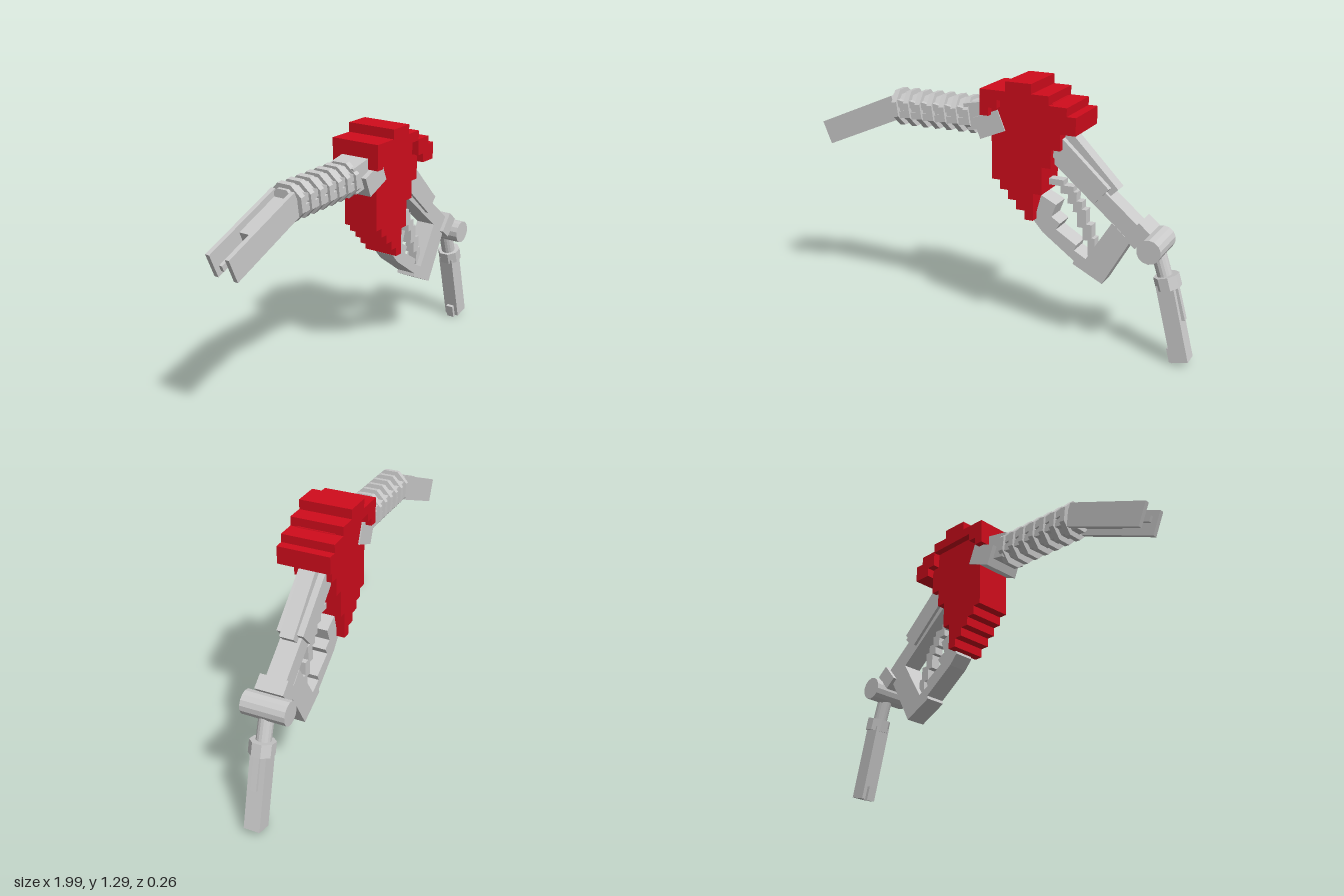
import * as THREE from 'three';

const grey = new THREE.MeshStandardMaterial({ color: 0xcccccc, flatShading: true });
const red = new THREE.MeshStandardMaterial({ color: 0xd00c1c, flatShading: true });

export function createModel() {
  const model = new THREE.Group();
  const add = (name, geometry, material = grey) => {
    const mesh = new THREE.Mesh(geometry, material);
    mesh.name = name;
    model.add(mesh);
    return mesh;
  };
  // Side profile extruded symmetrically about z = 0
  const profile = (name, pts, halfZ, material) => {
    const shape = new THREE.Shape(pts.map(([x, y]) => new THREE.Vector2(x, y)));
    const g = new THREE.ExtrudeGeometry(shape, { depth: halfZ * 2, bevelEnabled: false });
    return add(name, g.translate(0, 0, -halfZ), material);
  };
  // Square-section bar between two points in the xy plane
  const bar = (name, [x1, y1], [x2, y2], height, halfZ, z = 0) => {
    const m = add(name, new THREE.BoxGeometry(Math.hypot(x2 - x1, y2 - y1), height, halfZ * 2));
    m.position.set((x1 + x2) / 2, (y1 + y2) / 2, z);
    m.rotation.z = Math.atan2(y2 - y1, x2 - x1);
    return m;
  };
  // Round or faceted rod between two points in the xy plane
  const rod = (name, [x1, y1], [x2, y2], r, sides) => {
    const g = new THREE.CylinderGeometry(r, r, Math.hypot(x2 - x1, y2 - y1), sides);
    g.rotateY(Math.PI / sides).rotateZ(-Math.PI / 2);
    const m = add(name, g);
    m.position.set((x1 + x2) / 2, (y1 + y2) / 2, 0);
    m.rotation.z = Math.atan2(y2 - y1, x2 - x1);
    return m;
  };

  // Stepped red housing and its wider cover
  profile('housing', [
    [0, 1.21], [0, 0.81], [0.043, 0.81], [0.043, 0.765], [0.087, 0.765], [0.087, 0.72],
    [0.13, 0.72], [0.13, 0.675], [0.174, 0.675], [0.174, 0.63], [0.218, 0.63], [0.218, 0.765],
    [0.26, 0.765], [0.26, 0.9], [0.305, 0.9], [0.305, 0.99], [0.35, 0.99], [0.35, 1.1], [0.31, 1.21],
  ], 0.094, red);
  profile('cover', [
    [-0.045, 1.25], [-0.045, 1.125], [0, 1.125], [0, 1.165], [0.043, 1.165], [0.043, 1.205],
    [0.305, 1.205], [0.305, 1.125], [0.35, 1.125], [0.35, 1.08], [0.44, 1.08], [0.44, 1.165],
    [0.395, 1.165], [0.395, 1.205], [0.305, 1.205 + 0.001], [0.305, 1.25], [0.218, 1.25],
    [0.218, 1.297], [0.087, 1.297], [0.087, 1.25],
  ].map(([x, y]) => (y === 1.205 && x === 0.305 ? [x, 1.2] : [x, y])), 0.13, red);

  // Hose connector and side lugs
  bar('hoseConnector', [-0.15, 1.09], [0.0, 1.12], 0.13, 0.075);
  bar('hoseLug', [-0.078, 1.048], [0.052, 1.102], 0.105, 0.1);

  // Ribbed hose
  rod('hoseCore', [-0.58, 1.085], [-0.1, 1.1], 0.07, 8);
  for (let i = 0; i < 7; i++) {
    const x = -0.54 + i * 0.0665;
    const y = 1.085 + i * 0.001;
    rod('hoseRing', [x - 0.014, y - 0.002], [x + 0.014, y + 0.002], 0.095, 8);
    // Small offset links between the rings
    if (i < 6) for (const s of [-1, 1]) {
      bar('hoseLink', [x + 0.005, y + 0.03 * s], [x + 0.062, y + 0.02 * s], 0.035, 0.075);
    }
  }

  // Forked hose end
  for (const s of [-1, 1]) {
    bar('forkPlate', [-0.973, 0.91], [-0.55, 1.09], 0.121, 0.011, s * 0.054);
  }
  bar('forkCore', [-0.8, 0.984], [-0.55, 1.09], 0.06, 0.045);
  bar('forkRib', [-0.973, 0.91], [-0.55, 1.09], 0.03, 0.008);

  // Delivery neck
  bar('neck', [0.29, 0.98], [0.73, 0.615], 0.085, 0.05);
  bar('neckSleeve', [0.3, 1.02], [0.55, 0.795], 0.1, 0.066);
  bar('neckTopStrip', [0.34, 1.075], [0.6, 0.81], 0.05, 0.035);
  bar('neckCollar', [0.7, 0.655], [0.755, 0.61], 0.11, 0.07);

  // Lever guard
  profile('guard', [
    [0.24, 0.75], [0.205, 0.615], [0.25, 0.565], [0.415, 0.447], [0.41, 0.43], [0.56, 0.356],
    [0.69, 0.59], [0.6, 0.67], [0.475, 0.467], [0.415, 0.5], [0.425, 0.527], [0.32, 0.59],
    [0.34, 0.622], [0.295, 0.65], [0.318, 0.713],
  ], 0.052);

  // Stepped trigger: centre x, centre y, width, height
  [
    [0.305, 0.815, 0.075, 0.03], [0.36, 0.785, 0.065, 0.04], [0.388, 0.75, 0.045, 0.06],
    [0.415, 0.71, 0.045, 0.055], [0.438, 0.655, 0.045, 0.09], [0.468, 0.59, 0.045, 0.08],
    [0.49, 0.52, 0.035, 0.09],
  ].forEach(([x, y, w, h]) => {
    add('triggerStep', new THREE.BoxGeometry(w, h, 0.05)).position.set(x, y, 0);
  });

  // Swivel hinge and spout
  const hinge = add('hinge', new THREE.CylinderGeometry(0.058, 0.058, 0.22, 14));
  hinge.rotation.x = Math.PI / 2;
  hinge.position.set(0.8, 0.58, 0);
  rod('spoutStem', [0.805, 0.57], [0.862, 0.4], 0.036, 16);
  rod('spoutCollar', [0.855, 0.442], [0.873, 0.382], 0.061, 8);
  bar('spout', [0.86, 0.4], [0.955, 0.027], 0.083, 0.04);
  bar('spoutRidge', [0.9, 0.4], [0.947, 0.232], 0.03, 0.014);
  bar('spoutLip', [0.896, 0.08], [0.914, 0.012], 0.03, 0.02);
  return model;
}
